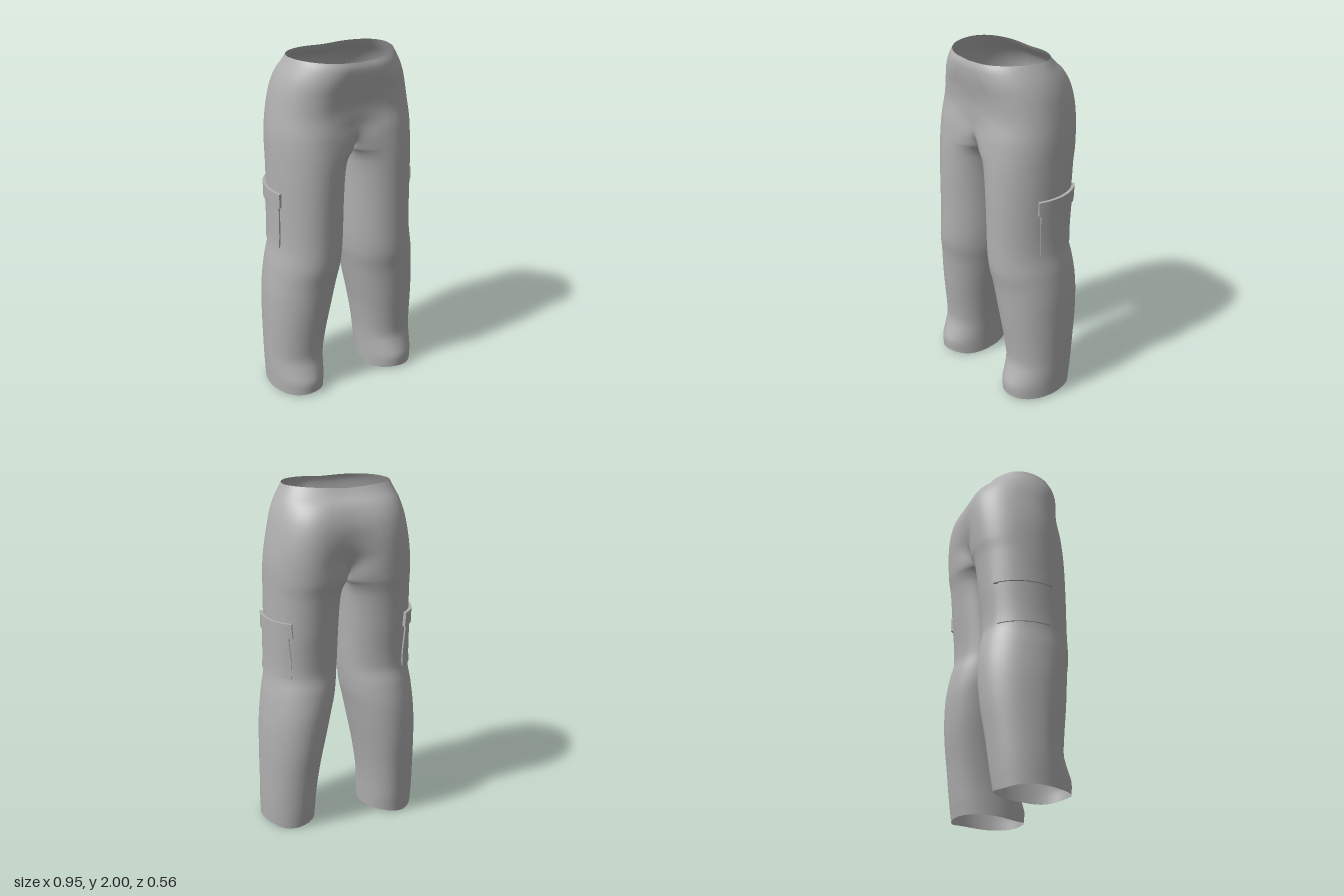
import * as THREE from 'three';
import { mergeVertices } from 'three/addons/utils/BufferGeometryUtils.js';

const CROTCH = 1.48;

// Smooth curve through [height, value] pairs
function profile(pairs) {
  const slope = (i) => {
    const a = pairs[Math.max(i - 1, 0)], b = pairs[Math.min(i + 1, pairs.length - 1)];
    return (b[1] - a[1]) / (b[0] - a[0]);
  };
  return (y) => {
    let i = 0;
    while (i < pairs.length - 2 && y > pairs[i + 1][0]) i++;
    const [y0, v0] = pairs[i], [y1, v1] = pairs[i + 1];
    const h = y1 - y0, t = THREE.MathUtils.clamp((y - y0) / h, 0, 1);
    const t2 = t * t, t3 = t2 * t;
    return v0 * (2 * t3 - 3 * t2 + 1) + v1 * (3 * t2 - 2 * t3)
      + h * slope(i) * (t3 - 2 * t2 + t) + h * slope(i + 1) * (t3 - t2);
  };
}

// Outlines of one trouser half by height
const outerX = profile([[0, .468], [.2, .474], [.6, .47], [.8, .45], [.92, .43], [1.05, .424],
  [1.4, .425], [1.6, .42], [1.8, .388], [1.9, .358], [2, .308]]);
const innerX = profile([[0, .155], [.2, .145], [.4, .118], [.6, .078], [.7, .058], [.8, .038],
  [.95, .027], [1.2, .025], [1.38, .022], [1.45, .013], [CROTCH, 0]]);
const frontZ = profile([[0, .245], [.08, .248], [.14, .228], [.21, .206], [.3, .21], [.5, .235],
  [.7, .257], [.82, .277], [1, .28], [1.4, .28], [1.58, .267], [1.7, .248], [1.8, .254], [1.9, .272], [1.97, .275], [2, .265]]);
const backZ = profile([[0, -.18], [.1, -.195], [.3, -.22], [.5, -.245], [.7, -.25], [.84, -.232],
  [.95, -.208], [1.2, -.228], [1.4, -.247], [1.5, -.265], [1.7, -.277], [1.82, -.265], [1.9, -.23], [1.96, -.175], [2, -.148]]);
const middleX = profile([[0, .305], [.3, .29], [.6, .265], [.9, .23], [1.2, .22], [1.5, .2], [1.7, .18], [1.85, .14], [2, .07]]);
const seamFront = profile([[0, .035], [.8, .05], [1.2, .07], [1.4, .11], [CROTCH, .17], [1.55, .23],
  [1.65, .241], [1.75, .246], [1.8, .254], [1.9, .272], [1.97, .275], [2, .267]]);
const seamBack = profile([[0, .025], [.8, -.02], [1.2, -.06], [1.4, -.1], [CROTCH, -.15], [1.55, -.205],
  [1.65, -.248], [1.75, -.264], [1.82, -.26], [1.9, -.23], [1.96, -.176], [2, -.15]]);
const WIDEST_Z = .02;

const Q = 14, WALL = 10, RING = 4 * Q + WALL;

// Closed outline of one half: outside, back inner corner, inner wall, front inner corner
function section(y) {
  const xo = outerX(y), cx = middleX(y), zf = frontZ(y), zb = backZ(y);
  const xi = y >= CROTCH ? 0 : Math.max(innerX(y), 0);
  const sf = seamFront(y), sb = seamBack(y);
  const blend = THREE.MathUtils.smoothstep(y, CROTCH, 1.64);
  const corner = (u, zEdge, zSeam) => {
    const a = u * Math.PI / 2;
    const x = THREE.MathUtils.lerp(Math.sin(a), u, blend);
    const z = THREE.MathUtils.lerp(Math.cos(a), (1 + Math.cos(Math.PI * u)) / 2, blend);
    return [cx - (cx - xi) * x, zSeam + (zEdge - zSeam) * z];
  };
  const ring = [];
  for (let i = 0; i < 2 * Q; i++) {
    const a = (i / Q) * Math.PI / 2, c = Math.cos(a);
    ring.push([cx + (xo - cx) * Math.sin(a), WIDEST_Z + c * (c > 0 ? zf - WIDEST_Z : WIDEST_Z - zb)]);
  }
  for (let i = 0; i < Q; i++) ring.push(corner(i / Q, zb, sb));
  for (let i = 0; i < WALL; i++) ring.push([xi, sb + (sf - sb) * i / WALL]);
  for (let i = 0; i < Q; i++) ring.push(corner(1 - i / Q, zf, sf));
  return ring;
}

// Both halves joined along the centre seam
function trousersGeometry() {
  const heights = [];
  for (let i = 0; i <= 70; i++) heights.push(CROTCH * (1 - Math.pow(1 - i / 70, 1.25)));
  for (let i = 1; i <= 34; i++) heights.push(CROTCH + (2 - CROTCH) * i / 34);
  heights[70] = CROTCH;
  const positions = [], indices = [];
  for (const side of [1, -1]) {
    const base = positions.length / 3;
    heights.forEach((y) => {
      const waist = THREE.MathUtils.smoothstep(y, 1.9, 2);
      const hem = 1 - THREE.MathUtils.smoothstep(y, 0, .12);
      for (const [x, z] of section(y)) {
        // slightly uneven waist and hem edges
        const dip = -waist * .013 * Math.max(0, 1 - Math.abs(x) / .28);
        const lift = hem * .008 * (1 + Math.sin(x * 18 + z * 11));
        positions.push(side * x, y + dip + lift, z);
      }
    });
    for (let r = 0; r < heights.length - 1; r++) {
      for (let i = 0; i < RING; i++) {
        if (r >= 70 && i >= 3 * Q && i < 3 * Q + WALL) continue; // no wall above the crotch
        const j = (i + 1) % RING, low = base + r * RING, high = low + RING;
        const a = low + i, b = low + j, c = high + j, d = high + i;
        if (side > 0) indices.push(a, b, c, a, c, d);
        else indices.push(a, c, b, a, d, c);
      }
    }
  }
  const geometry = new THREE.BufferGeometry();
  geometry.setAttribute('position', new THREE.Float32BufferAttribute(positions, 3));
  geometry.setIndex(indices);
  const joined = mergeVertices(geometry, 1e-5);
  joined.computeVertexNormals();
  return joined;
}

// Thin panel bent over the outside of the leg
function panelGeometry(y0, y1, z0, z1, lift) {
  const geometry = new THREE.BoxGeometry(1, y1 - y0, z1 - z0, 1, 8, 16);
  geometry.translate(0, (y0 + y1) / 2, (z0 + z1) / 2);
  const p = geometry.attributes.position;
  for (let i = 0; i < p.count; i++) {
    const y = p.getY(i), z = p.getZ(i), cx = middleX(y);
    const depth = z > WIDEST_Z ? frontZ(y) - WIDEST_Z : WIDEST_Z - backZ(y);
    const t = (z - WIDEST_Z) / depth, s = Math.sqrt(1 - t * t);
    const offset = p.getX(i) > 0 ? lift : -.002;
    p.setXYZ(i, cx + (outerX(y) - cx) * s + offset * Math.max(s, .5), y, z + offset * t);
  }
  geometry.computeVertexNormals();
  return geometry;
}

export function createModel() {
  const model = new THREE.Group();
  model.name = 'cargoTrousers';
  const cloth = new THREE.MeshStandardMaterial({ color: 0xb0b0b0, side: THREE.DoubleSide });
  cloth.name = 'greyCloth';

  const trousers = new THREE.Mesh(trousersGeometry(), cloth);
  trousers.name = 'trousers';
  model.add(trousers);

  // Cargo pocket and flap on each thigh
  const pocket = panelGeometry(.94, 1.19, -.175, .1, .009);
  const flap = panelGeometry(1.185, 1.268, -.192, .115, .018);
  for (const [side, label] of [[1, 'left'], [-1, 'right']]) {
    const group = new THREE.Group();
    group.name = label + 'CargoPocket';
    for (const [geometry, name] of [[pocket, 'PocketBody'], [flap, 'PocketFlap']]) {
      const mesh = new THREE.Mesh(geometry, cloth);
      mesh.name = label + name;
      group.add(mesh);
    }
    group.scale.x = side;
    model.add(group);
  }
  return model;
}
